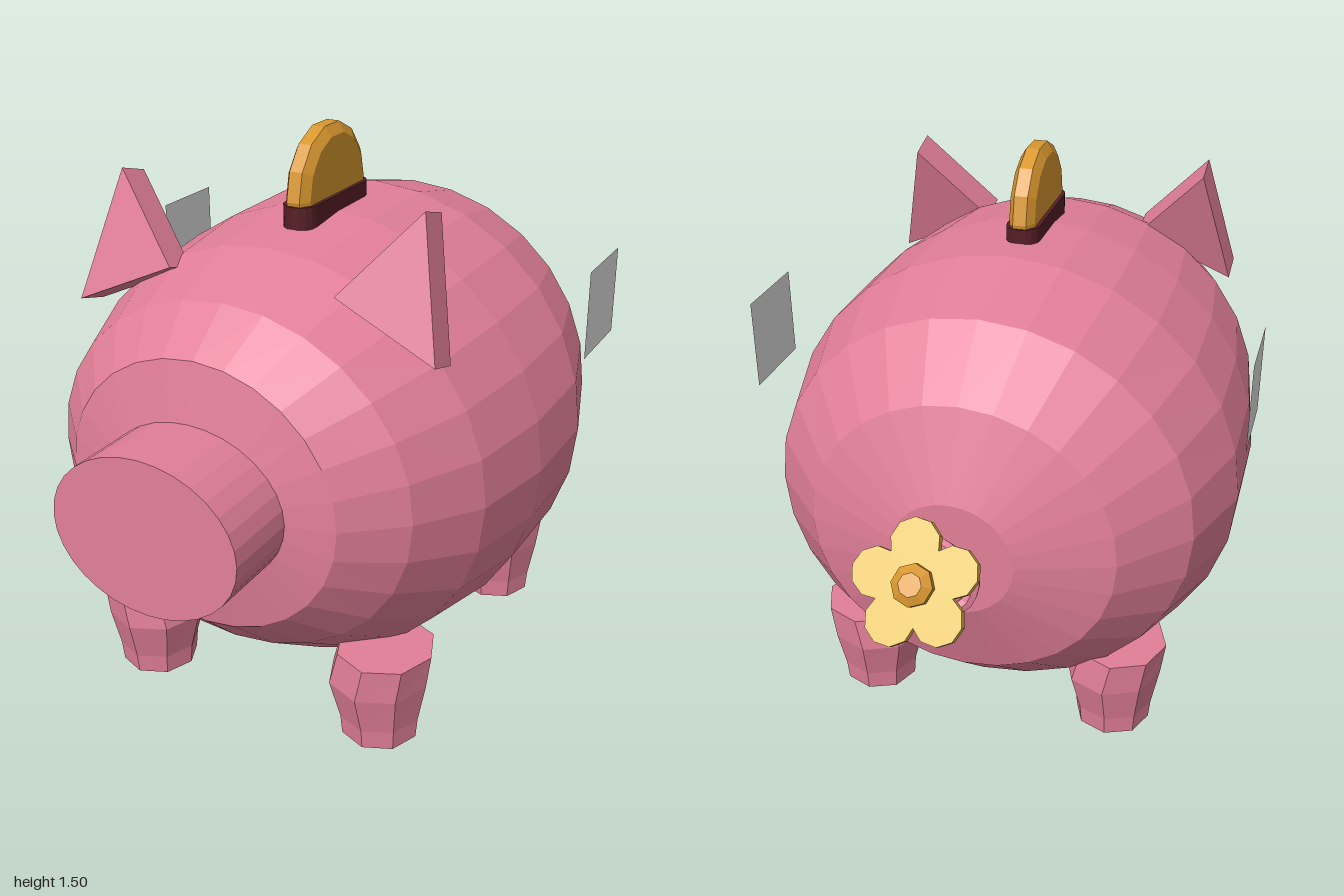
import * as THREE from 'three';

const material = (name, color) => Object.assign(new THREE.MeshStandardMaterial({ color }), { name });

// Split the faces apart so every facet shades flat
function faceted(geometry) {
  const g = geometry.index ? geometry.toNonIndexed() : geometry;
  g.computeVertexNormals();
  return g;
}

// Closed loft running toward -z through ellipses [z, rx, ry, cx, cy]
function loft(rings, sides) {
  const pos = [], index = [];
  for (const [z, rx, ry, cx = 0, cy = 0] of rings) {
    for (let j = 0; j < sides; j++) {
      const t = (j / sides) * Math.PI * 2;
      pos.push(cx + rx * Math.cos(t), cy + ry * Math.sin(t), z);
    }
  }
  const last = (rings.length - 1) * sides, front = rings.length * sides, back = front + 1;
  for (const [z, , , cx = 0, cy = 0] of [rings[0], rings[rings.length - 1]]) pos.push(cx, cy, z);
  for (let j = 0; j < sides; j++) {
    const k = (j + 1) % sides;
    index.push(front, j, k, back, last + k, last + j);
    for (let r = 0; r < last; r += sides) {
      const a = r + j, b = r + k, c = b + sides, d = a + sides;
      index.push(a, d, b, b, d, c);
    }
  }
  const g = new THREE.BufferGeometry();
  g.setAttribute('position', new THREE.Float32BufferAttribute(pos, 3));
  g.setIndex(index);
  return faceted(g);
}

// Triangular prism: front corners swept back by an offset
function prism(corners, offset, mirror) {
  const p = [...corners, ...corners.map((c) => c.map((v, i) => v + offset[i]))];
  const pos = p.flatMap(([x, y, z]) => [x * mirror, y, z]);
  const index = [0, 1, 2, 3, 5, 4];
  for (let i = 0; i < 3; i++) {
    const k = (i + 1) % 3;
    index.push(i, i + 3, k, k, i + 3, k + 3);
  }
  if (mirror < 0) index.reverse();
  const g = new THREE.BufferGeometry();
  g.setAttribute('position', new THREE.Float32BufferAttribute(pos, 3));
  g.setIndex(index);
  return faceted(g);
}

export function createModel() {
  const model = new THREE.Group();
  model.name = 'piggyBank';
  const pink = material('pink', 0xe27f98);
  const gold = material('gold', 0xd8962e);
  const brown = material('darkBrown', 0x561f26);
  const yellow = material('yellow', 0xdcb942);
  const grey = material('lightGrey', 0xe0e0e0);
  grey.side = THREE.DoubleSide;

  const add = (name, geometry, mat, parent = model) => {
    const mesh = new THREE.Mesh(geometry, mat);
    mesh.name = name;
    parent.add(mesh);
    return mesh;
  };

  // Barrel body and snout
  add('body', loft([
    [0.8, 0.24, 0.2, 0, 0.73],
    [0.77, 0.37, 0.35, 0, 0.728],
    [0.64, 0.5, 0.46, 0, 0.716],
    [0.43, 0.595, 0.567, 0, 0.683],
    [0.15, 0.635, 0.618, 0, 0.664],
    [-0.14, 0.637, 0.622, 0, 0.662],
    [-0.4, 0.56, 0.537, 0, 0.685],
    [-0.57, 0.4, 0.385, 0, 0.685],
    [-0.65, 0.16, 0.157, 0, 0.685],
  ], 28), pink);
  add('snout', loft([[1, 0.25, 0.2, 0, 0.73], [0.74, 0.25, 0.2, 0, 0.73]], 32), pink);

  for (const side of [1, -1]) {
    const label = side > 0 ? 'left' : 'right';

    // Legs: lofted along z, then stood upright
    for (const [row, z] of [['Front', 0.5], ['Back', -0.305]]) {
      const leg = loft([
        [0.26, 0.128, 0.137, 0.367 * side],
        [0.165, 0.134, 0.139, 0.348 * side],
        [0.055, 0.109, 0.11, 0.352 * side],
        [0, 0.104, 0.104, 0.352 * side],
      ], 8);
      add(label + row + 'Leg', leg.rotateX(-Math.PI / 2), pink).position.z = z;
    }

    // Ears
    add(label + 'Ear', prism(
      [[0.42, 1.4, 0.435], [0.23, 1.19, 0.52], [0.5, 1.07, 0.54]],
      [0, -0.025, -0.09], side), pink);

    // Upright flank panel
    const panel = add(label + 'Panel', new THREE.PlaneGeometry(0.235, 0.24), grey);
    panel.rotation.y = side * Math.PI / 2;
    panel.position.set(0.66 * side, 1.02, -0.187);
  }

  // Coin standing in its slot
  const slot = new THREE.Shape();
  slot.absarc(0, 0.132, 0.045, 0, Math.PI);
  slot.absarc(0, -0.132, 0.045, Math.PI, Math.PI * 2);
  const slotGeometry = new THREE.ExtrudeGeometry(slot, { depth: 0.07, bevelEnabled: false, curveSegments: 4 });
  add('coinSlot', faceted(slotGeometry.rotateX(-Math.PI / 2)), brown).position.set(0, 1.25, 0.133);
  const coinProfile = [[0, -0.035], [0.145, -0.035], [0.172, -0.018], [0.172, 0.018], [0.145, 0.035], [0, 0.035]]
    .map(([x, y]) => new THREE.Vector2(x, y));
  add('coin', faceted(new THREE.LatheGeometry(coinProfile, 14).rotateZ(Math.PI / 2)), gold)
    .position.set(0, 1.33, 0.133);

  // Curly tail
  const tailPath = new THREE.CatmullRomCurve3([
    [0.08, 0.69, -0.63], [0.04, 0.75, -0.67], [-0.08, 0.71, -0.72], [-0.07, 0.64, -0.75],
    [0.01, 0.615, -0.78], [0.06, 0.67, -0.82], [0.03, 0.74, -0.87], [-0.005, 0.785, -0.91],
  ].map((p) => new THREE.Vector3(...p)));
  add('tail', faceted(new THREE.TubeGeometry(tailPath, 28, 0.017, 6)), pink);

  // Flower on the tail tip, facing back and up
  const flower = new THREE.Group();
  flower.name = 'flower';
  flower.position.set(-0.005, 0.787, -0.903);
  flower.lookAt(-0.005, 0.787 + 0.6, -0.903 - 0.8);
  model.add(flower);

  // Five round petals as one outline
  const outline = new THREE.Shape();
  for (let k = 0; k < 5; k++) {
    const a = THREE.MathUtils.degToRad(27 + 72 * k);
    for (let i = 0; i < 7; i++) {
      const b = a + (i / 6 - 0.5) * 3.9;
      const x = 0.095 * Math.cos(a) + 0.06 * Math.cos(b);
      const y = 0.095 * Math.sin(a) + 0.06 * Math.sin(b);
      if (k + i === 0) outline.moveTo(x, y);
      else outline.lineTo(x, y);
    }
  }
  add('petals', faceted(new THREE.ExtrudeGeometry(outline, { depth: 0.024, bevelEnabled: false })), yellow, flower)
    .position.z = -0.012;
  add('flowerCentre', loft([[0.045, 0.028, 0.028], [0.03, 0.05, 0.05], [-0.02, 0.05, 0.05]], 8), gold, flower);

  return model;
}
